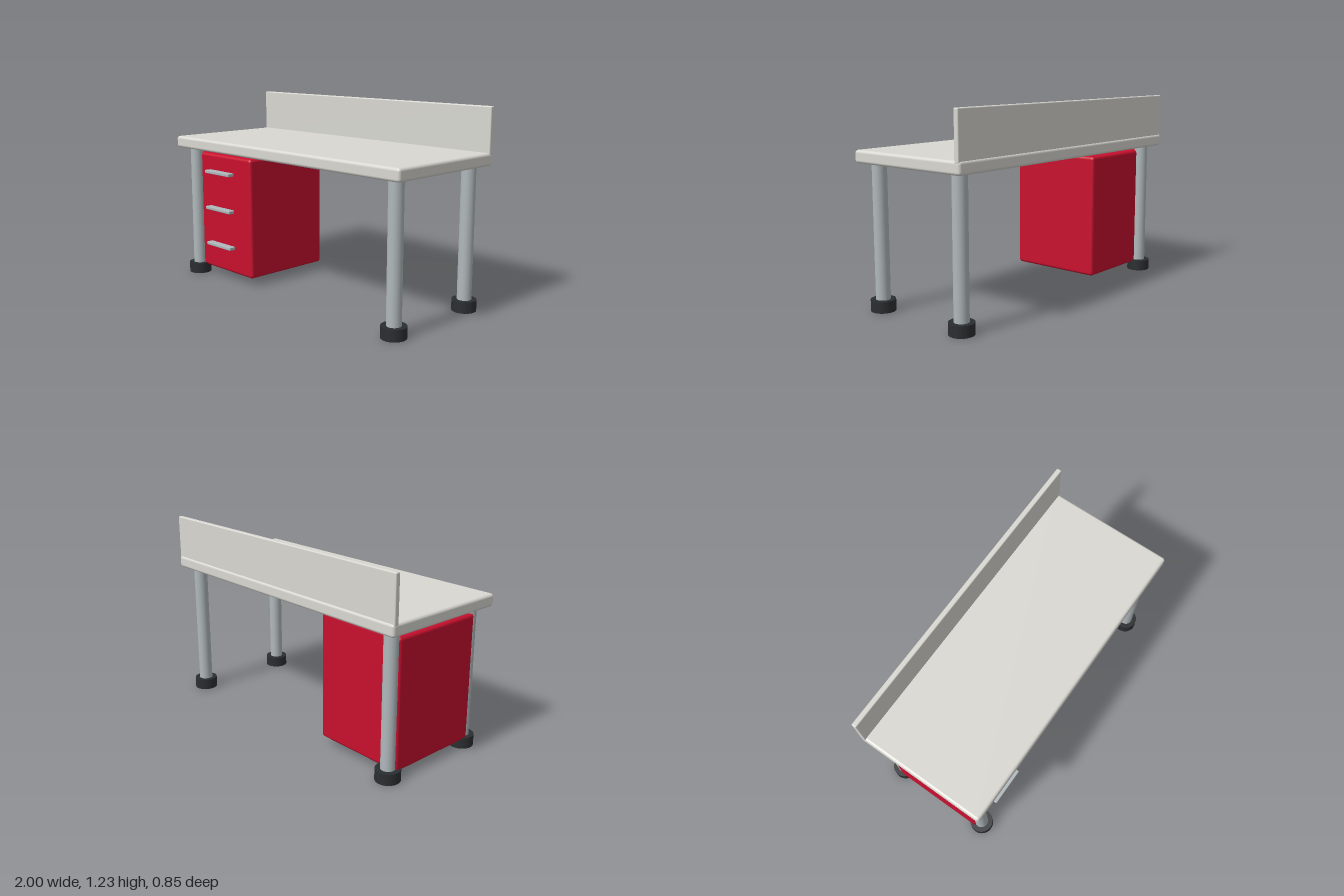
import * as THREE from 'three';
import { RoundedBoxGeometry } from 'three/addons/geometries/RoundedBoxGeometry.js';

const material = (color) => new THREE.MeshStandardMaterial({ color });

export function createModel() {
  const desk = new THREE.Group();
  desk.name = 'desk';

  const laminate = material(0xd9d8d2);
  const steel = material(0xb0b8bb);
  const rubber = material(0x2b2e30);
  const red = material(0xc8102e);

  const add = (parent, name, geometry, mat, x, y, z) => {
    const mesh = new THREE.Mesh(geometry, mat);
    mesh.name = name;
    mesh.position.set(x, y, z);
    parent.add(mesh);
    return mesh;
  };

  // Worktop and the upright panel along its back edge
  add(desk, 'worktop', new RoundedBoxGeometry(2, 0.077, 0.846, 4, 0.018), laminate, 0, 0.922, 0);
  add(desk, 'backPanel', new RoundedBoxGeometry(2, 0.285, 0.032, 3, 0.007), laminate, 0, 1.0885, -0.399);

  // Four tubular legs with wide rubber feet
  const tube = new THREE.CylinderGeometry(0.044, 0.044, 0.84, 32);
  const foot = new THREE.CylinderGeometry(0.075, 0.075, 0.07, 32);
  for (const sx of [-1, 1]) {
    for (const sz of [-1, 1]) {
      const leg = new THREE.Group();
      leg.name = (sz > 0 ? 'front' : 'back') + (sx > 0 ? 'Left' : 'Right') + 'Leg';
      leg.position.set(sx * 0.9, 0, sz * 0.325);
      add(leg, 'legTube', tube, steel, 0, 0.47, 0);
      add(leg, 'legFoot', foot, rubber, 0, 0.035, 0);
      desk.add(leg);
    }
  }

  // Drawer cabinet with three bar handles
  const cabinet = new THREE.Group();
  cabinet.name = 'drawerCabinet';
  cabinet.position.x = -0.643;
  add(cabinet, 'cabinetBody', new RoundedBoxGeometry(0.615, 0.797, 0.632, 4, 0.02), red, 0, 0.4525, 0);
  const handle = new RoundedBoxGeometry(0.258, 0.022, 0.05, 2, 0.005);
  for (const y of [0.232, 0.482, 0.732]) {
    add(cabinet, 'drawerHandle', handle, steel, 0.003, y, 0.335);
  }
  desk.add(cabinet);

  return desk;
}
